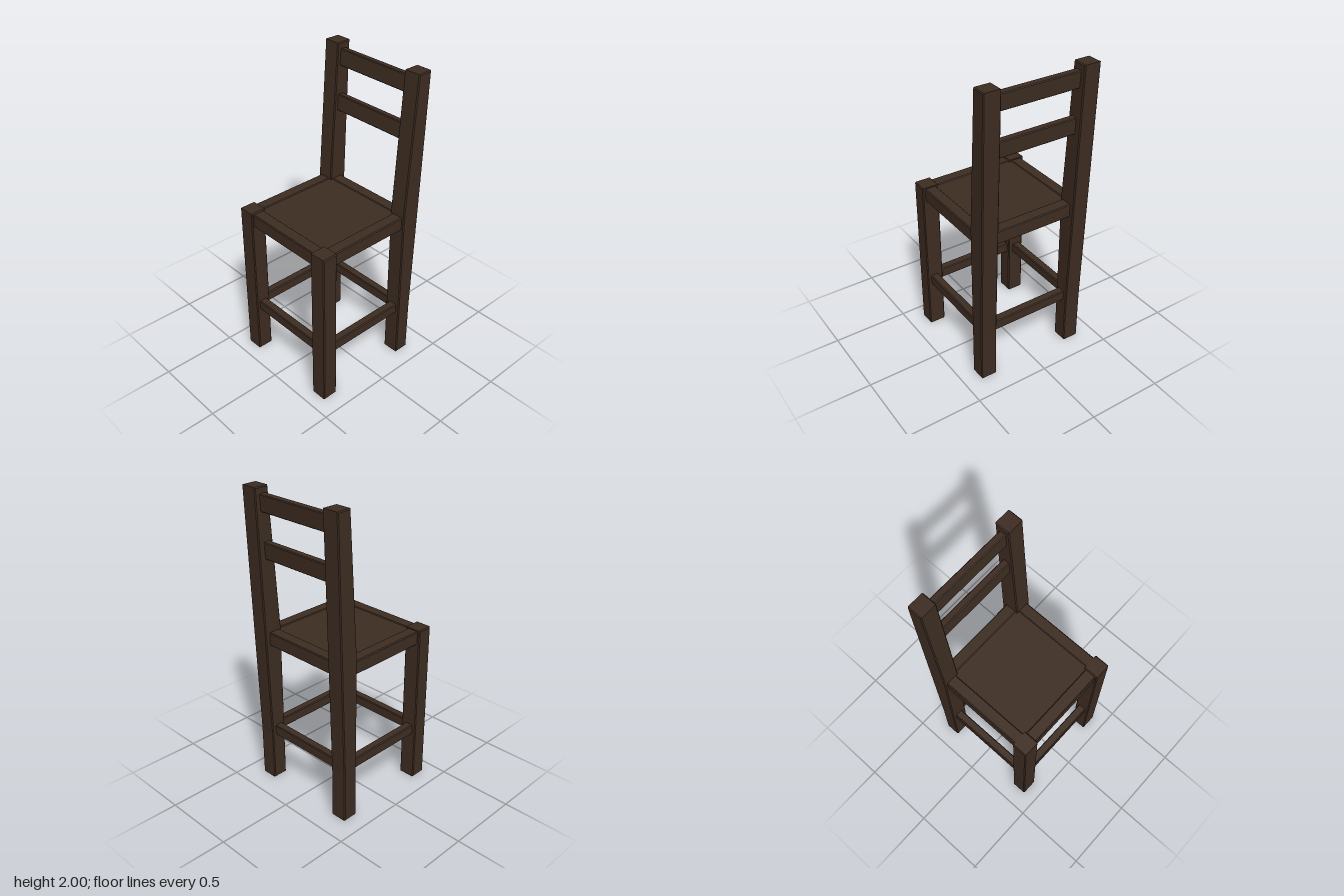
import * as THREE from 'three';

const wood = new THREE.MeshStandardMaterial({ color: 0x3e2d22 });
wood.name = 'dark brown wood';

// Outline extruded by depth, centred, with narrow chamfers on both faces
function slab(points, depth, bevel) {
  const shape = new THREE.Shape(points.map(([a, b]) => new THREE.Vector2(a, b)));
  const geo = new THREE.ExtrudeGeometry(shape, {
    depth: depth - 2 * bevel, bevelEnabled: true, bevelSegments: 1,
    bevelSize: bevel, bevelThickness: bevel, bevelOffset: -bevel,
  });
  return geo.translate(0, 0, bevel - depth / 2);
}

const rect = (a0, a1, b0, b1) => [[a0, b0], [a1, b0], [a1, b1], [a0, b1]];

export function createModel() {
  const chair = new THREE.Group();
  chair.name = 'chair';

  const add = (name, geo, x = 0, y = 0, z = 0) => {
    const mesh = new THREE.Mesh(geo, wood);
    mesh.name = name;
    mesh.position.set(x, y, z);
    chair.add(mesh);
    return mesh;
  };
  // Part with a z-y outline, extruded along x
  const sidePart = (name, points, width, x) =>
    add(name, slab(points, width, 0.006).rotateY(-Math.PI / 2), x);
  // Horizontal bar running along x between two legs
  const crossBar = (name, y0, y1, z0, z1) =>
    add(name, slab(rect(-0.28, 0.28, (y0 - y1) / 2, (y1 - y0) / 2), z1 - z0, 0.005),
      0, (y0 + y1) / 2, (z0 + z1) / 2);

  // Legs, side rails and side stretchers, mirrored
  const backLeg = [[-0.35, 0], [-0.25, 0], [-0.25, 1.09], [-0.31, 2], [-0.408, 2], [-0.352, 0.35]];
  for (const [side, s] of [['left', 1], ['right', -1]]) {
    sidePart(side + 'FrontLeg', rect(0.305, 0.408, 0, 1.088), 0.113, s * 0.3285);
    sidePart(side + 'BackLeg', backLeg, 0.113, s * 0.3285);
    sidePart(side + 'SeatRail', rect(-0.26, 0.315, 0.99, 1.08), 0.078, s * 0.328);
    sidePart(side + 'Stretcher', rect(-0.26, 0.315, 0.33, 0.4), 0.055, s * 0.332);
  }

  // Front and back seat rails and stretchers
  crossBar('frontSeatRail', 0.99, 1.08, 0.316, 0.394);
  crossBar('backSeatRail', 0.99, 1.08, -0.343, -0.265);
  crossBar('frontStretcher', 0.33, 0.4, 0.33, 0.385);
  crossBar('backStretcher', 0.33, 0.4, -0.325, -0.27);

  // Seat panel set between the rails
  add('seatPanel', new THREE.BoxGeometry(0.59, 0.03, 0.592), 0, 1.06, 0.026);

  // Backrest slats, leaning with the back legs
  const lean = -Math.atan(0.06 / 0.91);
  crossBar('upperSlat', 1.852, 1.96, -0.373, -0.329).rotation.x = lean;
  crossBar('lowerSlat', 1.56, 1.668, -0.353, -0.309).rotation.x = lean;

  return chair;
}
